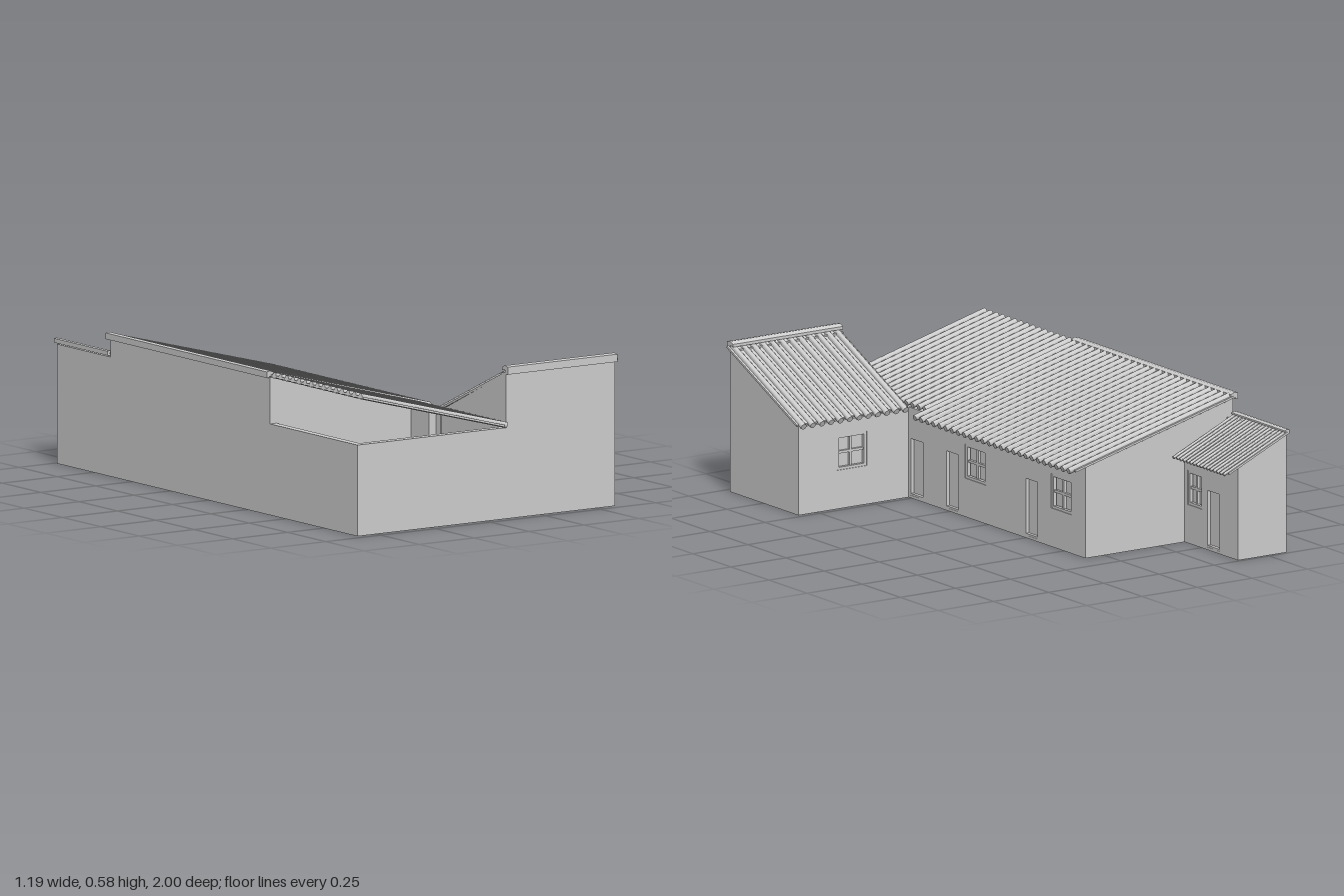
import * as THREE from 'three';
import { mergeGeometries, toCreasedNormals } from 'three/addons/utils/BufferGeometryUtils.js';

const T = 0.03; // wall thickness
const plaster = new THREE.MeshStandardMaterial({ color: 0xcccccc });
plaster.name = 'light grey';

function add(parent, name, geometry) {
  const mesh = new THREE.Mesh(geometry, plaster);
  mesh.name = name;
  parent.add(mesh);
  return mesh;
}

function box(w, h, d, x, y, z) {
  return new THREE.BoxGeometry(w, h, d).translate(x, y, z);
}

const toShape = (points) => new THREE.Shape(points.map(([x, y]) => new THREE.Vector2(x, y)));

// Border of an opening, as four bars
function frame([u0, u1, y0, y1], b, z) {
  const w = u1 - u0, h = y1 - y0, u = (u0 + u1) / 2, y = (y0 + y1) / 2;
  return [
    box(b, h, 0.014, u0 + b / 2, y, z), box(b, h, 0.014, u1 - b / 2, y, z),
    box(w - 2 * b, b, 0.014, u, y0 + b / 2, z), box(w - 2 * b, b, 0.014, u, y1 - b / 2, z),
  ];
}

// Wall in its own plane (u across, y up), facing outwards, turned about y
function wall(parent, name, angle, face, outline, doors = [], windows = []) {
  const group = new THREE.Group();
  group.name = name;
  group.rotation.y = angle;
  parent.add(group);
  const shape = toShape(outline);
  const doorHoles = doors.map(([a, b]) => [a, b, 0.01, 0.235]);
  const windowHoles = windows.map(([a, b]) => [a, b, 0.148, 0.28]);
  for (const [a, b, c, d] of [...doorHoles, ...windowHoles]) {
    shape.holes.push(new THREE.Path([[a, c], [a, d], [b, d], [b, c]].map(([x, y]) => new THREE.Vector2(x, y))));
  }
  const geometry = new THREE.ExtrudeGeometry(shape, { depth: T, bevelEnabled: false });
  add(group, name + 'Panel', geometry.translate(0, 0, face - T));

  for (const o of doorHoles) {
    const [a, b, c, d] = o;
    add(group, 'doorLeaf', box(b - a, d - c, 0.01, (a + b) / 2, (c + d) / 2, face - 0.02));
    add(group, 'doorFrame', mergeGeometries(frame(o, 0.007, face - 0.008)));
  }
  for (const o of windowHoles) {
    const [a, b, c, d] = o, u = (a + b) / 2, y = (c + d) / 2;
    add(group, 'windowPane', box(b - a, d - c, 0.004, u, y, face - 0.024));
    add(group, 'windowFrame', mergeGeometries([
      ...frame(o, 0.01, face - 0.01),
      box(0.01, d - c - 0.02, 0.01, u, y, face - 0.014),
      box(b - a - 0.02, 0.01, 0.01, u, y, face - 0.014),
    ]));
  }
}

// Sloping roof: falls along local x from high to low, spans z0..z1, with round tile rows
function roof(parent, name, high, low, z0, z1, rows, angle = 0) {
  const group = new THREE.Group();
  group.name = name;
  group.rotation.y = angle;
  parent.add(group);
  const dx = low[0] - high[0], dy = low[1] - high[1];
  const length = Math.hypot(dx, dy), tilt = Math.atan2(dy, dx);
  const pitch = (z1 - z0) / rows, radius = pitch * 0.29;
  const place = (g) => g.rotateZ(tilt).translate(high[0], high[1], 0);
  const sheet = box(length - 0.018, 0.008, z1 - z0, (length - 0.018) / 2, -0.004, (z0 + z1) / 2);
  add(group, name + 'Sheet', place(sheet));
  const ribs = [];
  for (let i = 0; i < rows; i++) {
    const rib = new THREE.CylinderGeometry(radius, radius, length, 10);
    ribs.push(rib.rotateZ(Math.PI / 2).translate(length / 2, 0, z0 + (i + 0.5) * pitch));
  }
  add(group, name + 'Tiles', toCreasedNormals(place(mergeGeometries(ribs)), 0.8));
}

// Ridge capping strip along z with an angled section
function ridge(parent, name, x, y, size, z0, z1, angle = 0) {
  const s = size;
  const section = toShape([[-s, -s], [-0.2 * s, -s], [0.2 * s, 0], [1.4 * s, -0.2 * s], [1.4 * s, 0.5 * s], [0.3 * s, s], [-s, s * 0.8]]);
  const geometry = new THREE.ExtrudeGeometry(section, { depth: z1 - z0, bevelEnabled: false });
  add(parent, name, geometry.translate(x, y, z0).rotateY(angle));
}

export function createModel() {
  const model = new THREE.Group();
  model.name = 'house';
  const Q = Math.PI / 2;

  // Ground slab under the whole plan
  const plan = toShape([[-0.585, -0.97], [0.585, -0.97], [0.585, -0.52], [0.085, -0.52],
    [0.085, 0.64], [-0.365, 0.64], [-0.365, 0.99], [-0.585, 0.99]]);
  add(model, 'floor', new THREE.ExtrudeGeometry(plan, { depth: 0.008, bevelEnabled: false }).rotateX(-Q));

  // Front and left outer walls
  wall(model, 'frontWall', 0, 0.97,
    [[-0.585, 0], [0.585, 0], [0.585, 0.55], [0.09, 0.55], [0.09, 0.345], [-0.585, 0.345]]);
  wall(model, 'outerSideWall', -Q, 0.585,
    [[-0.99, 0], [0.97, 0], [0.97, 0.345], [0.4, 0.345], [0.4, 0.52], [-0.64, 0.52], [-0.64, 0.452], [-0.99, 0.452]]);

  // Front wing
  wall(model, 'wingOuterWall', Q, 0.585, [[-0.97, 0], [-0.52, 0], [-0.52, 0.34], [-0.97, 0.55]]);
  wall(model, 'wingInnerWall', -Q, -0.09, [[0.52, 0], [0.97, 0], [0.97, 0.55], [0.52, 0.34]]);
  wall(model, 'wingBackWall', Math.PI, -0.52,
    [[-0.585, 0], [-0.085, 0], [-0.085, 0.338], [-0.585, 0.338]], [], [[-0.41, -0.275]]);

  // Main range, facing the yard
  wall(model, 'yardWall', Q, 0.085, [[-0.52, 0], [0.64, 0], [0.64, 0.347], [-0.52, 0.347]],
    [[-0.515, -0.422], [-0.28, -0.188], [0.24, 0.332]], [[-0.15, -0.013], [0.415, 0.55]]);
  wall(model, 'frontGable', 0, 0.4, [[-0.585, 0], [0.085, 0], [0.085, 0.347], [-0.585, 0.52]]);
  wall(model, 'backGable', Math.PI, 0.64, [[-0.085, 0], [0.585, 0], [0.585, 0.52], [-0.085, 0.347]]);

  // Small rear room
  wall(model, 'rearRoomSide', Q, -0.365, [[0.64, 0], [0.99, 0], [0.99, 0.353], [0.64, 0.353]],
    [[0.782, 0.873]], [[0.66, 0.755]]);
  wall(model, 'rearRoomEnd', Math.PI, 0.99, [[0.365, 0], [0.585, 0], [0.585, 0.452], [0.365, 0.353]]);

  // Tiled roofs
  roof(model, 'mainRoof', [-0.588, 0.534], [0.155, 0.342], -0.65, 0.4, 26);
  roof(model, 'frontRoof', [-0.58, 0.531], [0.083, 0.357], 0.4, 1, 15);
  roof(model, 'wingRoof', [-0.975, 0.56], [-0.5, 0.342], 0.09, 0.595, 12, Q);
  roof(model, 'rearRoof', [-0.587, 0.466], [-0.3, 0.337], -1, -0.65, 16);

  // Ridge cappings along the high edges
  ridge(model, 'mainRidge', -0.587, 0.533, 0.013, -0.65, 0.4);
  ridge(model, 'wingRidge', -0.967, 0.563, 0.016, 0.09, 0.588, Q);
  ridge(model, 'rearRidge', -0.583, 0.466, 0.009, -1, -0.65);

  return model;
}
